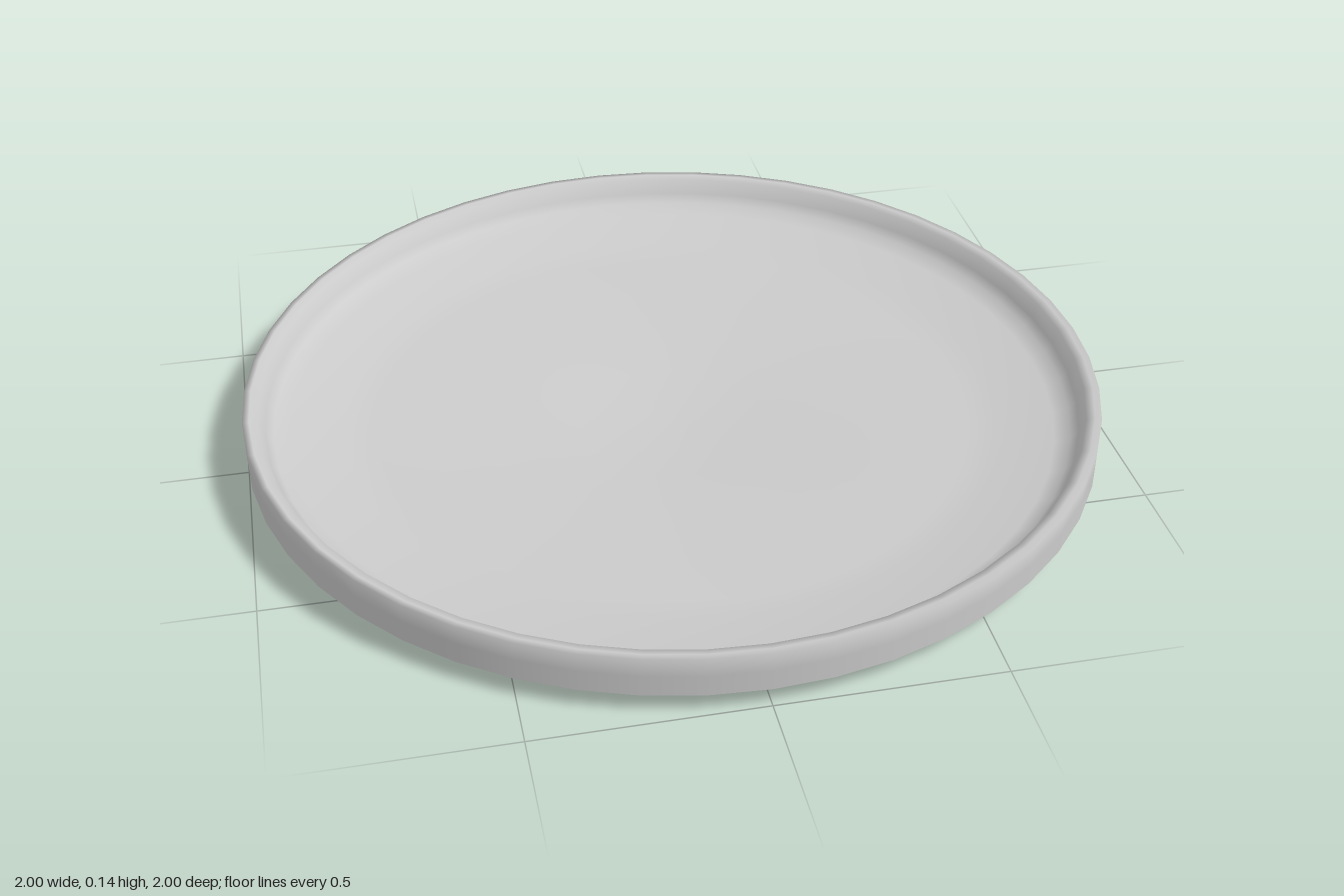
import * as THREE from 'three';

export function createModel() {
  const group = new THREE.Group();
  group.name = 'shallowDish';

  // Open sheet: outer skirt, lip, inner wall, then a floor dipping to the centre
  const profile = [
    [1, 0.045], [1, 0.095], [1, 0.14],
    [0.985, 0.14], [0.965, 0.135],
    [0.952, 0.1], [0.935, 0.08], [0.9, 0.062],
    [0.77, 0.045], [0.7, 0.032],
    [0.35, 0.027], [0.22, 0.003], [0, 0],
  ].map(([r, y]) => new THREE.Vector2(r, y));

  const material = new THREE.MeshStandardMaterial({ color: 0xcccccc, side: THREE.DoubleSide });
  const dish = new THREE.Mesh(new THREE.LatheGeometry(profile, 48), material);
  dish.name = 'dish';
  group.add(dish);
  return group;
}
